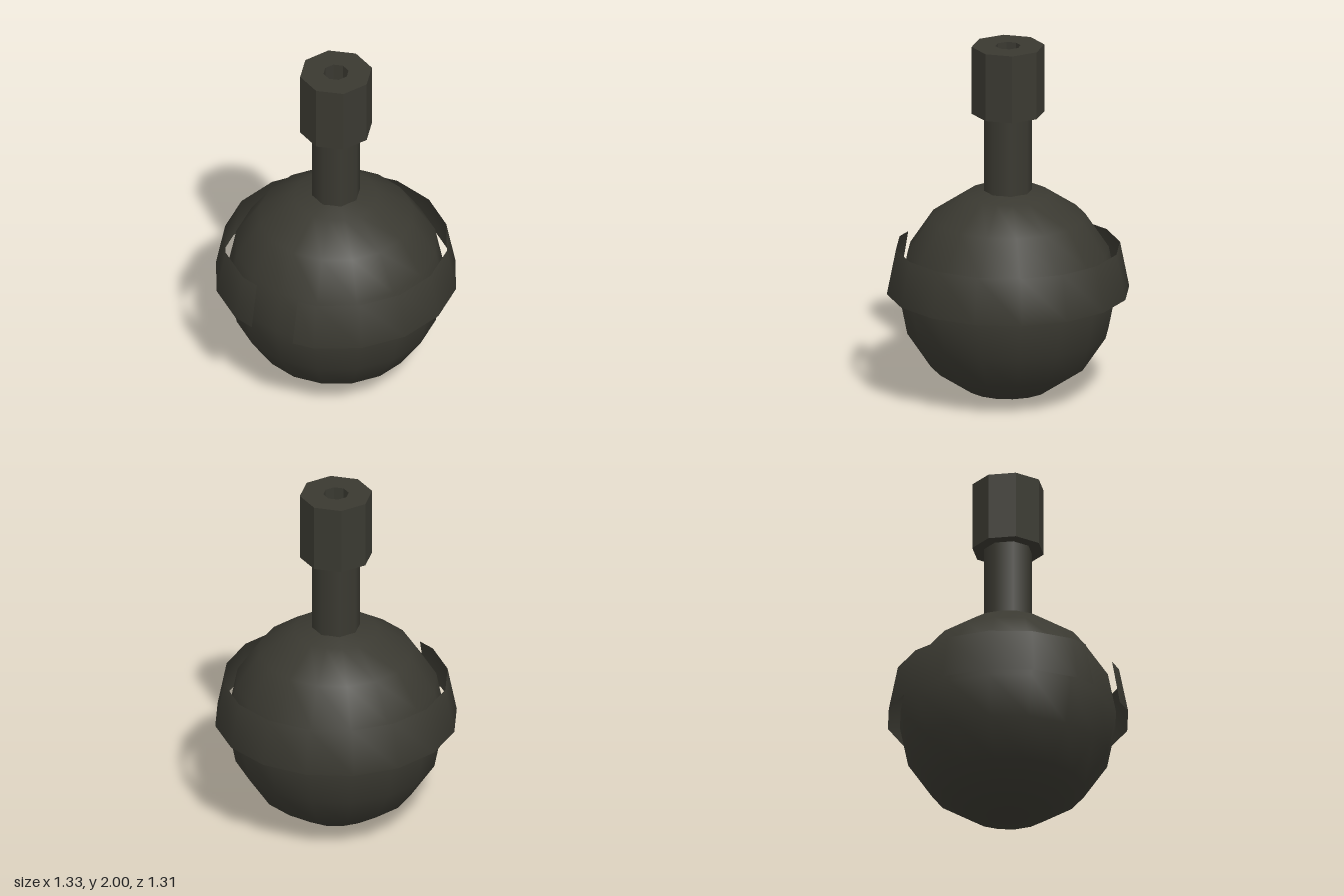
import * as THREE from 'three';
import { toCreasedNormals } from 'three/addons/utils/BufferGeometryUtils.js';

// Sloped belt following a 16-sided sphere, cut open at the front.
function bandGeometry(radius, sides, halfGap) {
  const step = (Math.PI * 2) / sides;
  const pos = [], nor = [], idx = [];
  for (let i = 0; i <= sides; i++) {
    for (const lat of [0, step]) {
      const r = radius * Math.cos(lat), y = radius * Math.sin(lat);
      let x = r * Math.sin(i * step), z = r * Math.cos(i * step);
      if (i === 0 || i === sides) {
        // end points slide along the first and last facet to the gap edge
        const t = halfGap / (r * Math.sin(step));
        x = i === 0 ? halfGap : -halfGap;
        z = r + t * (r * Math.cos(step) - r);
      }
      pos.push(x, y, z);
      const n = new THREE.Vector3(x, y, z).normalize();
      nor.push(n.x, n.y, n.z);
    }
    if (i < sides) {
      const a = i * 2;
      idx.push(a, a + 2, a + 1, a + 1, a + 2, a + 3);
    }
  }
  const g = new THREE.BufferGeometry();
  g.setAttribute('position', new THREE.Float32BufferAttribute(pos, 3));
  g.setAttribute('normal', new THREE.Float32BufferAttribute(nor, 3));
  g.setIndex(idx);
  return g;
}

export function createModel() {
  const group = new THREE.Group();
  const iron = new THREE.MeshStandardMaterial({ color: 0x3a3931, side: THREE.DoubleSide });
  iron.name = 'darkIron';

  const add = (name, geometry, y) => {
    const mesh = new THREE.Mesh(geometry, iron);
    mesh.name = name;
    mesh.position.set(0, y, 0.01);
    group.add(mesh);
  };

  // round body
  add('body', new THREE.SphereGeometry(0.6, 16, 8), 0.6);

  // open belt around the upper half
  add('band', bandGeometry(0.667, 16, 0.133), 0.6);

  // smooth eight-sided neck
  add('neck', new THREE.CylinderGeometry(0.133, 0.133, 0.45, 8, 1, true), 1.395);

  // faceted cap with a hole down its middle
  const profile = [[0, 0], [0.2, 0], [0.2, 0.383], [0.07, 0.383], [0.07, 0.01], [0, 0.01]]
    .map(([x, y]) => new THREE.Vector2(x, y));
  add('cap', toCreasedNormals(new THREE.LatheGeometry(profile, 8), 0.3), 1.617);

  return group;
}
